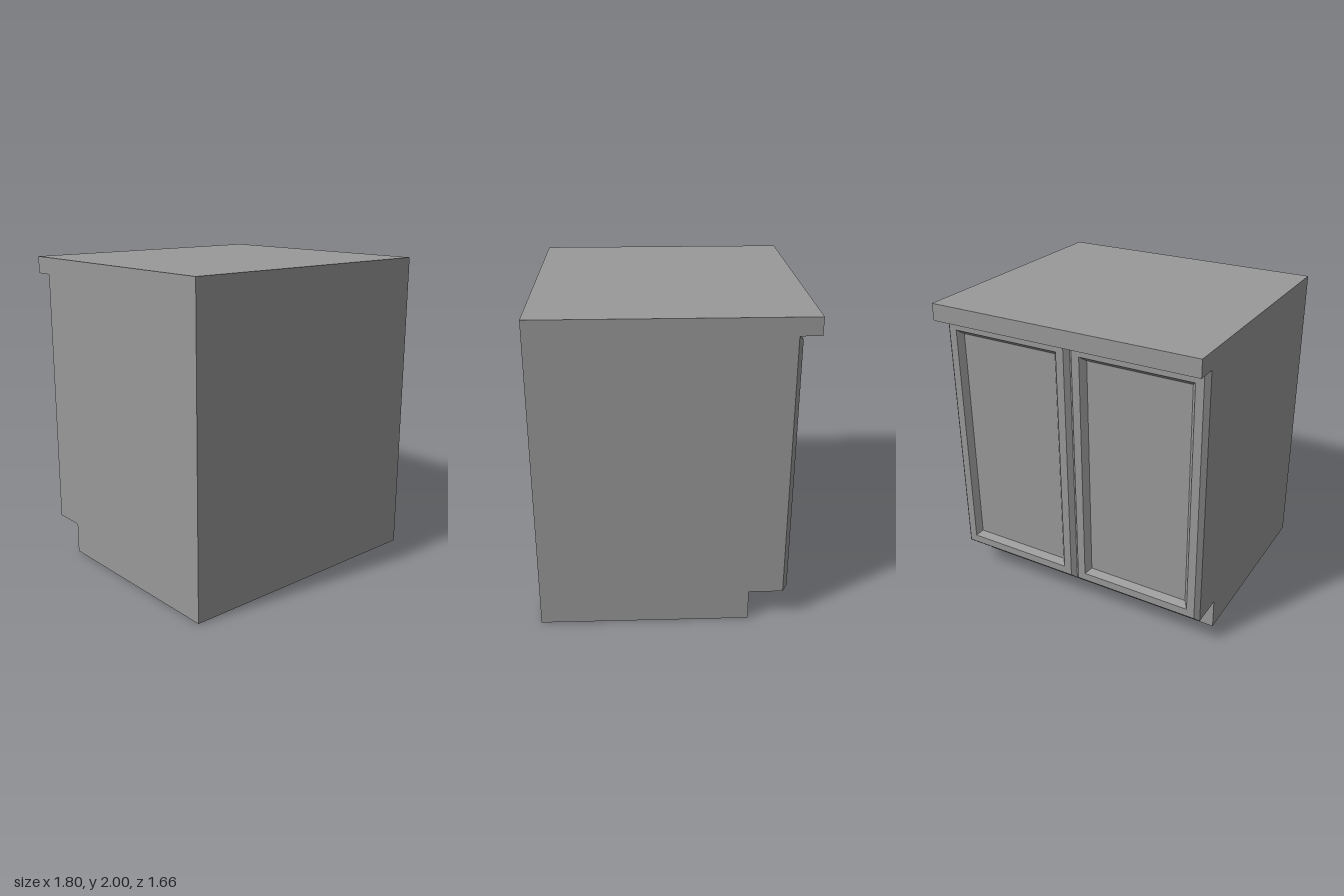
import * as THREE from 'three';

const grey = new THREE.MeshStandardMaterial({ color: 0x999999 });
grey.name = 'plain grey';

// Box given by its limits on each axis
function block(name, [x0, x1], [y0, y1], [z0, z1]) {
  const mesh = new THREE.Mesh(new THREE.BoxGeometry(x1 - x0, y1 - y0, z1 - z0), grey);
  mesh.position.set((x0 + x1) / 2, (y0 + y1) / 2, (z0 + z1) / 2);
  mesh.name = name;
  return mesh;
}

// Door facing -z: nested rectangles, each with [inset, z], joined by flat bands
function doorGeometry(width, height, steps) {
  const rings = steps.map(([inset, z]) => {
    const w = width / 2 - inset, h = height / 2 - inset;
    return [[-w, -h, z], [w, -h, z], [w, h, z], [-w, h, z]];
  });
  const points = [];
  const quad = (a, b, c, d) => points.push(...a, ...b, ...c, ...a, ...c, ...d);
  for (let i = 0; i < rings.length - 1; i++) {
    const p = rings[i], q = rings[i + 1];
    for (let k = 0; k < 4; k++) {
      const n = (k + 1) % 4;
      quad(p[k], q[k], q[n], p[n]);
    }
  }
  const last = rings[rings.length - 1];
  quad(last[0], last[3], last[2], last[1]);
  const geometry = new THREE.BufferGeometry();
  geometry.setAttribute('position', new THREE.Float32BufferAttribute(points, 3));
  geometry.computeVertexNormals();
  return geometry;
}

export function createModel() {
  const model = new THREE.Group();
  model.name = 'baseCabinet';

  // Worktop, body and recessed plinth
  model.add(block('worktop', [-0.9, 0.9], [1.89, 2], [-0.83, 0.83]));
  model.add(block('cabinetBody', [-0.9, 0.9], [0.2, 1.89], [-0.675, 0.83]));
  model.add(block('plinth', [-0.9, 0.9], [0, 0.2], [-0.485, 0.83]));

  // Pair of doors: chamfered rim, flat frame, sloped moulding, sunken panel
  const door = doorGeometry(0.9, 1.69, [
    [0, -0.675], [0, -0.7], [0.028, -0.728], [0.08, -0.728], [0.11, -0.69],
  ]);
  for (const side of [-1, 1]) {
    const mesh = new THREE.Mesh(door, grey);
    mesh.name = side > 0 ? 'leftDoor' : 'rightDoor';
    mesh.position.set(side * 0.45, 1.045, 0);
    model.add(mesh);
  }
  return model;
}
